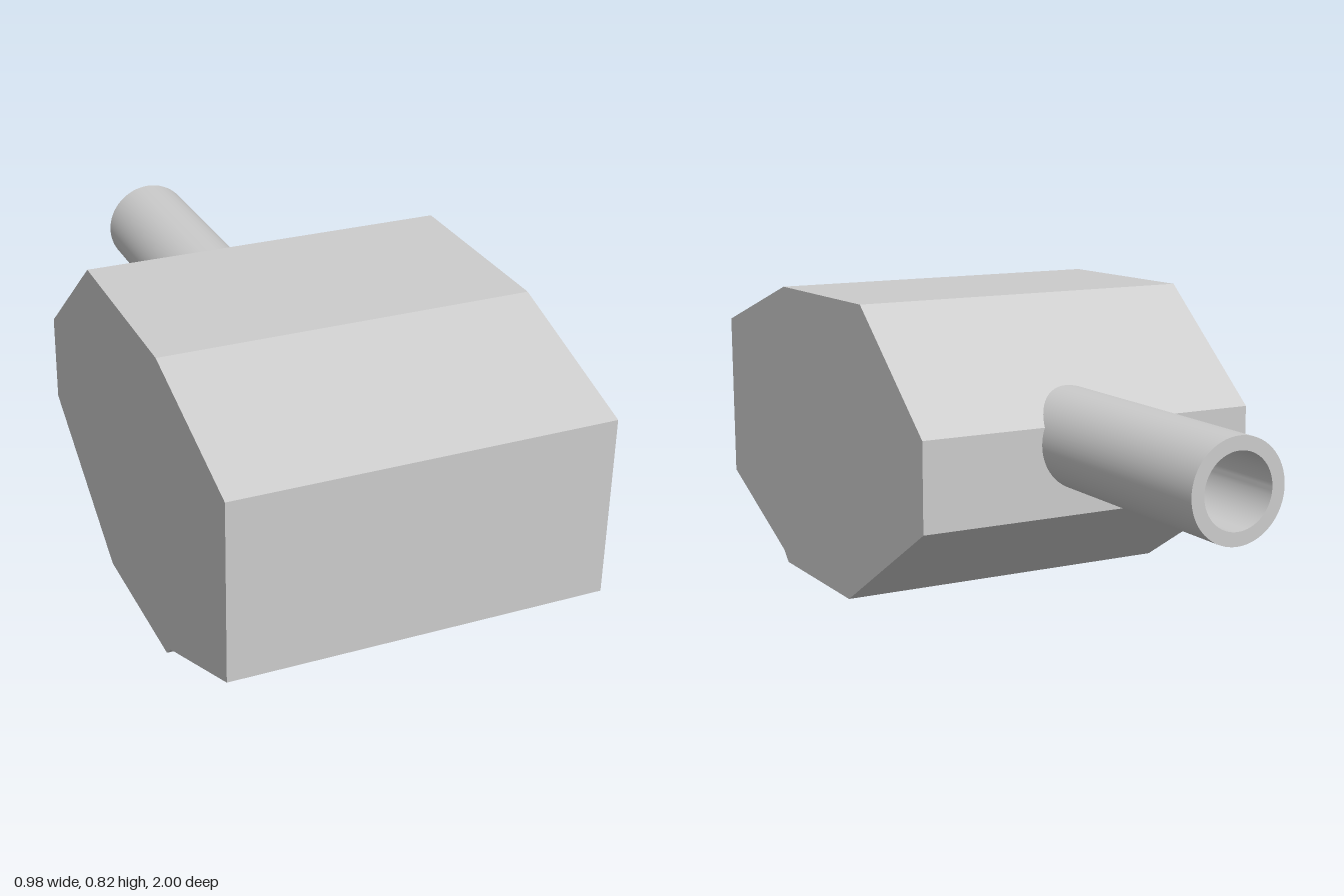
import * as THREE from 'three';
import { toCreasedNormals } from 'three/addons/utils/BufferGeometryUtils.js';

export function createModel() {
  const group = new THREE.Group();
  const material = new THREE.MeshStandardMaterial({ color: 0xcccccc });

  const add = (name, geometry) => {
    const mesh = new THREE.Mesh(geometry, material);
    mesh.name = name;
    group.add(mesh);
  };

  // Faceted head: side profile as (z, y), extruded across the width
  const profile = [
    [1, 0.2], [1, 0.675], [0.56, 0.817], [0.03, 0.823], [-0.33, 0.525],
    [-0.33, 0.285], [0.14, 0], [0.58, 0], [0.61, 0.03],
  ].map(([z, y]) => new THREE.Vector2(z, y));
  const width = 0.98;
  const head = new THREE.ExtrudeGeometry(new THREE.Shape(profile), { depth: width, bevelEnabled: false });
  head.rotateY(-Math.PI / 2).translate(width / 2, 0, 0);
  add('head', head);

  // Hollow round handle, sunk into the back of the head
  const ring = new THREE.Shape().absarc(0, 0, 0.13, 0, Math.PI * 2);
  ring.holes.push(new THREE.Path().absarc(0, 0, 0.095, 0, Math.PI * 2, true));
  const handle = new THREE.ExtrudeGeometry(ring, { depth: 0.82, bevelEnabled: false, curveSegments: 32 });
  handle.translate(0.02, 0.48, -1);
  add('handle', toCreasedNormals(handle, Math.PI / 5));

  return group;
}
